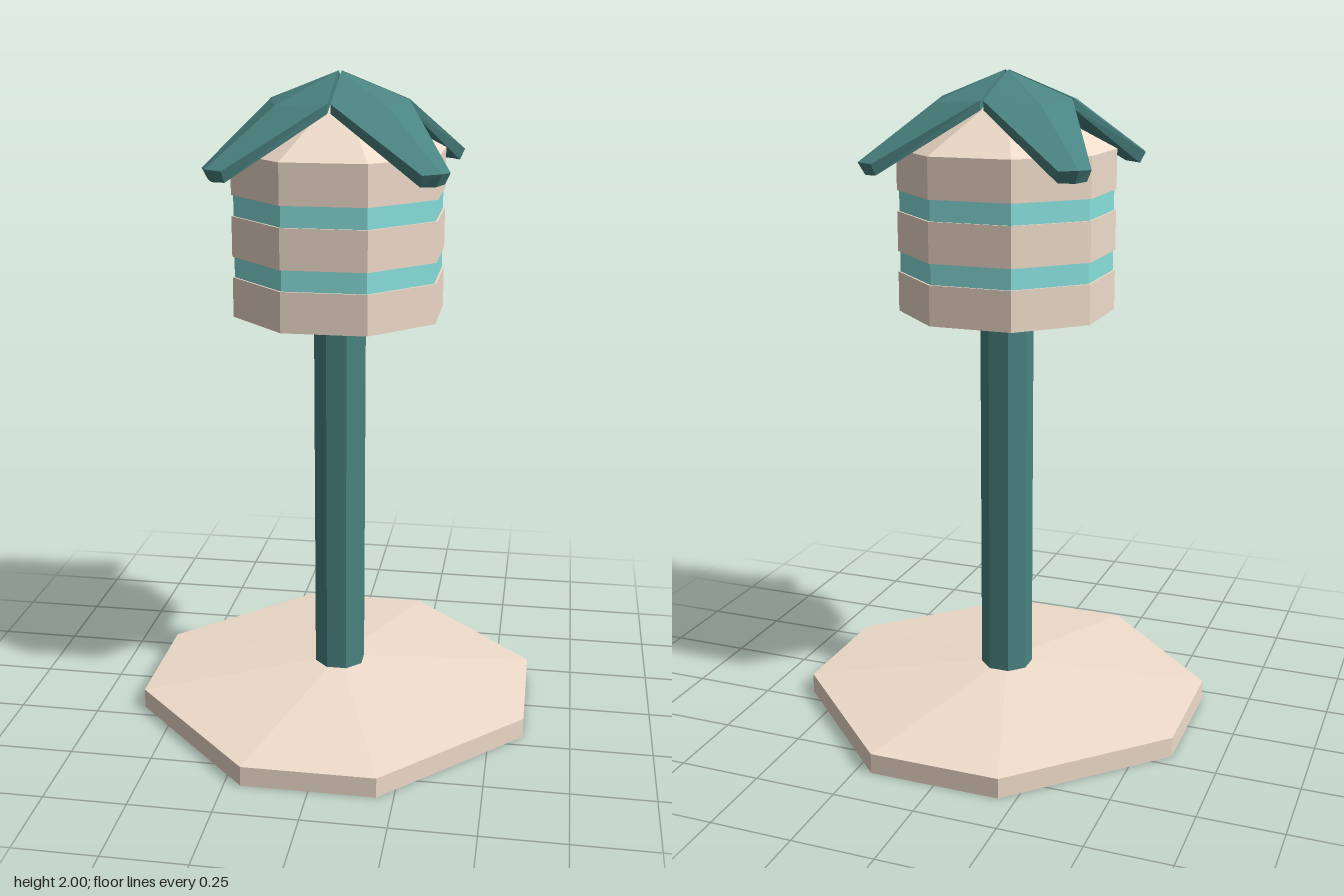
import * as THREE from 'three';

const material = (color) => new THREE.MeshStandardMaterial({ color, flatShading: true });

// Solid through matching rings of [x, y, z] points, bottom to top, each end fanned to a centre point
function loft(rings, bottomCentre, topCentre) {
  const n = rings[0].length;
  const points = [...rings.flat(), bottomCentre, topCentre];
  const bottom = points.length - 2, top = points.length - 1;
  const last = (rings.length - 1) * n;
  const index = [];
  for (let i = 0; i < n; i++) {
    const j = (i + 1) % n;
    index.push(bottom, j, i, top, last + i, last + j);
    for (let r = 0; r < last; r += n) {
      index.push(r + i, r + j, r + n + j, r + i, r + n + j, r + n + i);
    }
  }
  const indexed = new THREE.BufferGeometry();
  indexed.setAttribute('position', new THREE.Float32BufferAttribute(points.flat(), 3));
  indexed.setIndex(index);
  const geometry = indexed.toNonIndexed();
  geometry.computeVertexNormals();
  return geometry;
}

// Octagon outline: h is half the width, c is half the length of the straight sides
const octagon = (h, c = h * 0.414) => [
  [c, h], [h, c], [h, -c], [c, -h], [-c, -h], [-h, -c], [-h, c], [-c, h],
];

// Octagonal solid through levels of [y, h, c]
function octSolid(levels, peak) {
  const rings = levels.map(([y, h, c]) => octagon(h, c).map(([x, z]) => [x, y, z]));
  const topY = peak ?? levels[levels.length - 1][0];
  return loft(rings, [0, levels[0][0], 0], [0, topY, 0]);
}

// Octagonal tube with an open middle
function octRing(y, height, outer, inner) {
  const toVectors = (h) => octagon(h).map(([x, z]) => new THREE.Vector2(x, z));
  const shape = new THREE.Shape(toVectors(outer));
  shape.holes.push(new THREE.Path(toVectors(inner)));
  const geometry = new THREE.ExtrudeGeometry(shape, { depth: height, bevelEnabled: false });
  return geometry.rotateX(-Math.PI / 2).translate(0, y, 0);
}

// One roof leaf over the +x +z quarter
function leafGeometry() {
  const g = 0.005;
  const lower = [
    [g, 1.965, g], [g, 1.895, 0.2], [0.27, 1.717, 0.333],
    [0.312, 1.715, 0.312], [0.333, 1.717, 0.27], [0.2, 1.895, g],
  ];
  const upper = [
    [g, 2, g], [g, 1.922, 0.203], [0.277, 1.75, 0.348],
    [0.328, 1.752, 0.328], [0.348, 1.75, 0.277], [0.203, 1.922, g],
  ];
  return loft([lower, upper], [0.16, 1.875, 0.16], [0.162, 1.912, 0.162]);
}

export function createModel() {
  const model = new THREE.Group();
  model.name = 'lampPost';
  const beige = material(0xf0dccb);
  const teal = material(0x4a8482);
  const aqua = material(0x88e0de);

  const add = (name, geometry, mat, parent = model) => {
    const mesh = new THREE.Mesh(geometry, mat);
    mesh.name = name;
    parent.add(mesh);
    return mesh;
  };

  // Foot and post
  add('base', octSolid([[0, 0.605, 0.2], [0.062, 0.605, 0.2], [0.125, 0.075, 0.025]]), beige);
  add('post', octSolid([[0.1, 0.075], [1.34, 0.075]]), teal);

  // Lamp head: stacked shells with light strips between them
  const head = new THREE.Group();
  head.name = 'lampHead';
  model.add(head);
  for (let i = 0; i < 3; i++) {
    add('shellBand', octRing(1.288 + i * 0.182, 0.12, 0.302, 0.24), beige, head);
  }
  for (let i = 0; i < 2; i++) {
    const y = 1.408 + i * 0.182;
    add('lightStrip', octSolid([[y, 0.296], [y + 0.062, 0.296]]), aqua, head);
  }
  add('headFloor', octSolid([[1.315, 0.241], [1.35, 0.241]]), teal, head);
  add('postCollar', octSolid([[1.295, 0.12], [1.32, 0.135]]), teal, head);
  add('headCap', octSolid([[1.765, 0.302], [1.772, 0.302]], 1.945), beige, head);

  // Roof of four drooping leaves
  const roof = new THREE.Group();
  roof.name = 'roof';
  model.add(roof);
  const leaf = leafGeometry();
  for (let i = 0; i < 4; i++) {
    add('roofLeaf', leaf, teal, roof).rotation.y = i * Math.PI / 2;
  }
  return model;
}
